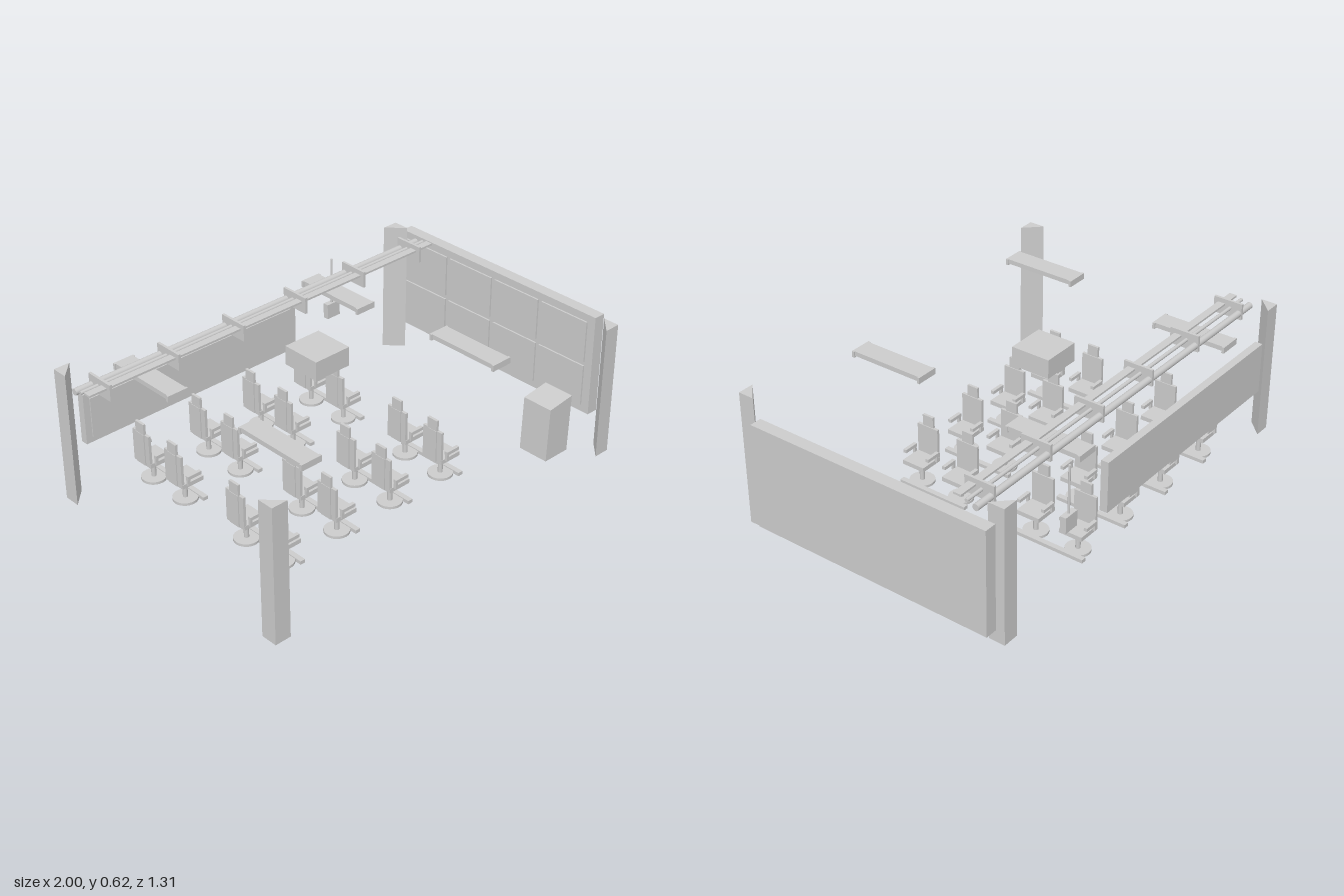
import * as THREE from 'three';

const mat = new THREE.MeshStandardMaterial({ color: 0xcccccc });
const flat = new THREE.MeshStandardMaterial({ color: 0xcccccc, flatShading: true });

function add(parent, name, geo, material = mat) {
  const mesh = new THREE.Mesh(geo, material);
  mesh.name = name;
  parent.add(mesh);
  return mesh;
}

// box given by its limits on each axis
function box(parent, name, [x0, x1], [y0, y1], [z0, z1]) {
  const mesh = add(parent, name, new THREE.BoxGeometry(x1 - x0, y1 - y0, z1 - z0));
  mesh.position.set((x0 + x1) / 2, (y0 + y1) / 2, (z0 + z1) / 2);
  return mesh;
}

function cylinder(parent, name, r, h, x, y, z, sides = 20) {
  const mesh = add(parent, name, new THREE.CylinderGeometry(r, r, h, sides));
  mesh.position.set(x, y, z);
  return mesh;
}

const polygon = pts => new THREE.Shape(pts.map(p => new THREE.Vector2(...p)));

// chair facing +x, with its rear at x = 0
function makeChair() {
  const g = new THREE.Group();
  g.name = 'chair';
  cylinder(g, 'baseDisc', 0.055, 0.012, 0.058, 0.006, 0, 24);
  cylinder(g, 'column', 0.011, 0.085, 0.058, 0.054, 0, 12);
  box(g, 'seat', [0.005, 0.115], [0.095, 0.115], [-0.055, 0.055]);
  box(g, 'backrest', [0.003, 0.016], [0.112, 0.25], [-0.053, 0.053]);
  box(g, 'headrest', [0, 0.012], [0.25, 0.3], [-0.027, 0.027]);
  box(g, 'backSupport', [-0.002, 0.004], [0.1, 0.25], [-0.027, 0.027]);
  for (const s of [-1, 1]) {
    box(g, 'armrest', [0.026, 0.096], [0.138, 0.153], [s * 0.06 - 0.008, s * 0.06 + 0.008]);
    box(g, 'armPost', [0.026, 0.038], [0.108, 0.139], [s * 0.06 - 0.006, s * 0.06 + 0.006]);
  }
  return g;
}

export function createModel() {
  const room = new THREE.Group();
  room.name = 'classroom';

  // triangular corner pillars
  const cx = -0.0475;
  for (const sx of [-1, 1]) for (const sz of [-1, 1]) {
    const x = cx + sx * 0.9525, z = sz * 0.655;
    const pts = [[x, -z], [x - sx * 0.075, -z], [x, -z + sz * 0.075]];
    const geo = new THREE.ExtrudeGeometry(polygon(pts), { depth: 0.62, bevelEnabled: false });
    add(room, 'cornerPillar', geo.rotateX(-Math.PI / 2), flat);
  }

  // back board with a raised face
  box(room, 'backBoard', [-0.9, 0.25], [0.235, 0.47], [-0.655, -0.62]);
  box(room, 'backBoardFace', [-0.87, 0.22], [0.26, 0.445], [-0.621, -0.614]);

  // side board with two rows of four panels on its inner face
  box(room, 'sideBoard', [0.945, 1], [0.095, 0.575], [-0.645, 0.505]);
  for (let i = 0; i < 4; i++) for (let j = 0; j < 2; j++) {
    const z = -0.615 + i * 0.275, y = 0.13 + j * 0.215;
    box(room, 'sidePanel', [0.937, 0.946], [y, y + 0.195], [z, z + 0.255]);
  }

  // lectern with a slanted top
  const side = polygon([[0.645, 0], [0.78, 0], [0.79, 0.27], [0.655, 0.253]]);
  const lectern = add(room, 'lectern',
    new THREE.ExtrudeGeometry(side, { depth: 0.148, bevelEnabled: false }), flat);
  lectern.position.z = 0.385;

  // ceiling lamps, the rear pair hung lower
  for (const x of [-0.69, 0.34]) for (const [z, y] of [[-0.44, 0.53], [0.345, 0.589]]) {
    const g = new THREE.Group();
    g.name = 'ceilingLamp';
    g.position.set(x, y, z);
    box(g, 'lampBody', [-0.046, 0.046], [0.007, 0.028], [-0.17, 0.17]);
    for (const s of [-1, 1])
      box(g, 'lampEnd', [-0.051, 0.051], [0, 0.028], [s * 0.172 - 0.006, s * 0.172 + 0.006]);
    room.add(g);
  }

  box(room, 'projector', [-0.21, -0.028], [0.533, 0.62], [-0.162, 0.022]);

  // overhead services: two pipes and a tray carried by hanger plates
  for (const [name, r, y, z] of [['largePipe', 0.015, 0.572, -0.524], ['smallPipe', 0.008, 0.586, -0.482]])
    cylinder(room, name, r, 1.905, cx, y, z, 16).rotation.z = Math.PI / 2;
  box(room, 'cableTray', [-1, 0.905], [0.59, 0.599], [-0.457, -0.422]);
  for (let i = 0; i < 6; i++) {
    const x = -0.91 + i * 0.344;
    box(room, 'hangerPlate', [x - 0.006, x + 0.006], [0.545, 0.62], [-0.54, -0.402]);
  }

  // hanging control box
  cylinder(room, 'hangingRod', 0.005, 0.22, 0.492, 0.475, -0.643, 10);
  box(room, 'hangingBox', [0.455, 0.529], [0.296, 0.367], [-0.657, -0.63]);

  // seats in four columns, paired on floor bars
  for (let i = 0; i < 4; i++) {
    const x = -0.704 + i * 0.299;
    for (const z of [-0.522, -0.312, 0.077, 0.287]) {
      const chair = makeChair();
      chair.position.set(x, 0, z);
      room.add(chair);
    }
    for (const z of [-0.417, 0.182])
      box(room, 'floorBar', [x + 0.1, x + 0.124], [0, 0.016], [z - 0.172, z + 0.172]);
  }

  return room;
}
